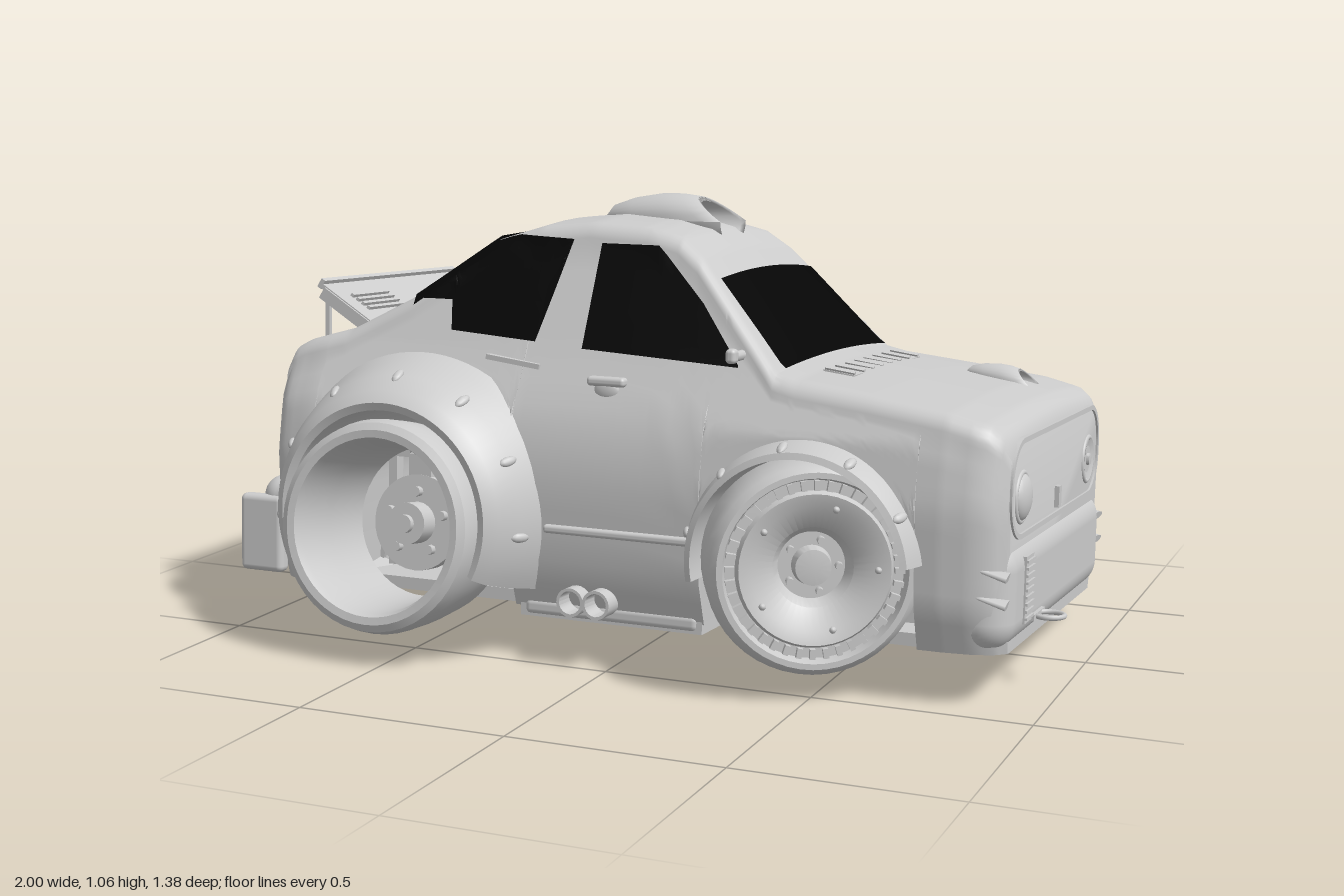
import * as THREE from 'three';
import { toCreasedNormals } from 'three/addons/utils/BufferGeometryUtils.js';
import { RoundedBoxGeometry } from 'three/addons/geometries/RoundedBoxGeometry.js';

const paint = new THREE.MeshStandardMaterial({ color: 0xcccccc, side: THREE.DoubleSide });
paint.name = 'light grey paint';
const glass = new THREE.MeshStandardMaterial({ color: 0x050505, side: THREE.DoubleSide });
glass.name = 'black glass';

// piecewise linear lookup
const lerpTable = (t, x) => {
  if (x <= t[0][0]) return t[0][1];
  for (let i = 1; i < t.length; i++) if (x <= t[i][0]) {
    const [a, b] = [t[i - 1], t[i]];
    return a[1] + (b[1] - a[1]) * (x - a[0]) / (b[0] - a[0]);
  }
  return t[t.length - 1][1];
};

// body rules: top line along x, half width over height, plan taper, corner radius
const TOP = [[-0.9, 0.64], [-0.885, 0.672], [-0.85, 0.69], [-0.74, 0.72], [-0.58, 0.808], [-0.39, 0.948], [-0.28, 0.983],
  [-0.15, 0.996], [0, 0.988], [0.08, 0.968], [0.14, 0.925], [0.37, 0.68], [0.42, 0.668], [0.6, 0.647], [0.78, 0.622], [0.87, 0.6], [0.9, 0.578], [0.915, 0.55]];
const WIDTH = [[0.08, 0.44], [0.2, 0.485], [0.42, 0.5], [0.55, 0.48], [0.63, 0.44], [0.7, 0.405], [1.0, 0.275]];
const PLAN = [[-0.9, 0.93], [-0.88, 0.97], [-0.8, 1], [0.78, 1], [0.85, 0.98], [0.89, 0.94], [0.915, 0.88]];
const R = 0.05;
const ARCHES = [[-0.52, 0.3, 0.265], [0.475, 0.27, 0.25]];
const top = x => lerpTable(TOP, x);
const half = (x, y) => lerpTable(WIDTH, y) * lerpTable(PLAN, x);
const flat = x => half(x, top(x) - R) - R;
const sideZ = (x, y) => {
  const k = y - (top(x) - R);
  return k <= 0 ? half(x, y) : flat(x) + Math.sqrt(Math.max(0, R * R - k * k));
};
const topY = (x, z) => {
  const f = flat(x), d = Math.abs(z) - f;
  return d <= 0 ? top(x) + 0.015 * (1 - (z / f) ** 2) : top(x) - R + Math.sqrt(Math.max(0, R * R - d * d));
};
const bottom = x => {
  for (const [cx, cy, r] of ARCHES) if (Math.abs(x - cx) < r) return cy + Math.sqrt(r * r - (x - cx) ** 2);
  return 0.1;
};

// surface through rows of points
function skin(rows, closed, caps) {
  const n = rows[0].length, pos = rows.flat(2), idx = [];
  for (let i = 0; i < rows.length - 1; i++) for (let j = 0; j < (closed ? n : n - 1); j++) {
    const a = i * n + j, b = i * n + (j + 1) % n;
    idx.push(a, a + n, b, b, a + n, b + n);
  }
  if (caps) for (const [r, flip] of [[0, true], [rows.length - 1, false]]) {
    for (let j = 1; j < n - 1; j++) {
      const a = r * n;
      idx.push(a, ...(flip ? [a + j, a + j + 1] : [a + j + 1, a + j]));
    }
  }
  const g = new THREE.BufferGeometry();
  g.setAttribute('position', new THREE.Float32BufferAttribute(pos, 3));
  g.setIndex(idx);
  return toCreasedNormals(g, 0.55);
}

function bodyGeometry() {
  const xs = TOP.map(p => p[0]);
  for (let x = -0.89; x < 0.9; x += 0.02) xs.push(x);
  for (const [c, , r] of ARCHES) for (const s of [-1, 1]) xs.push(c + s * (r + 0.001), c + s * (r - 0.0005), c + s * r * 0.99, c + s * r * 0.96);
  xs.sort((a, b) => a - b);
  return skin(xs.map(x => {
    const side = [], yb = bottom(x), yt = top(x) - R;
    for (let k = 0; k <= 14; k++) { const y = yb + (yt - yb) * k / 14; side.push([x, y, half(x, y)]); }
    for (let k = 1; k <= 6; k++) {
      const a = k * Math.PI / 12;
      side.push([x, yt + R * Math.sin(a), flat(x) + R * Math.cos(a)]);
    }
    for (const f of [0.66, 0.33]) side.push([x, topY(x, flat(x) * f), flat(x) * f]);
    const other = side.map(([a, b, c]) => [a, b, -c]).reverse();
    return [...side, [x, topY(x, 0), 0], ...other];
  }), true, true);
}

// glass lying on the body side, between a lower and an upper edge
function sideGlass(lo, hi) {
  const xs = [...new Set([...lo, ...hi].map(p => p[0]))];
  const [a, b] = [Math.min(...xs), Math.max(...xs)];
  for (let i = 1; i < 16; i++) xs.push(a + (b - a) * i / 16);
  xs.sort((p, q) => p - q);
  return skin(xs.map(x => Array.from({ length: 9 }, (_, k) => {
    const y0 = lerpTable(lo, x), y1 = Math.max(y0, Math.min(lerpTable(hi, x), top(x) - 0.008));
    const y = y0 + (y1 - y0) * k / 8;
    return [x, y + 0.003, sideZ(x, y) + 0.006];
  })));
}

// glass lying across the body top from x0 to x1, wider than its flat by w0 and w1; bow bends the ends
function crossGlass([x0, w0], [x1, w1], bow) {
  return skin(Array.from({ length: 13 }, (_, i) => Array.from({ length: 33 }, (_, k) => {
    const u = k / 16 - 1, x = x0 + (x1 - x0) * i / 12 + bow * u ** 4, z = (flat(x) + w0 + (w1 - w0) * i / 12) * u;
    return [x, topY(x, z) + 0.007, z * 1.01];
  })));
}

function add(parent, name, geo, p = [0, 0, 0], r = [0, 0, 0], mat = paint) {
  const m = new THREE.Mesh(geo, mat);
  m.name = name;
  m.position.set(...p);
  m.rotation.set(...r);
  parent.add(m);
  return m;
}
const box = (x, y, z) => new THREE.BoxGeometry(x, y, z);
const v2 = pts => pts.map(p => new THREE.Vector2(...p));
// turned part with its axis along z: points are [radius, z]
const turned = (pts, seg = 48, from = 0, len = Math.PI * 2) =>
  toCreasedNormals(new THREE.LatheGeometry(v2(pts), seg, from, len).rotateX(Math.PI / 2), 0.6);
const rod = (r, len, seg = 16) => new THREE.CylinderGeometry(r, r, len, seg).rotateX(Math.PI / 2);
// drop-shaped air scoop whose mouth is swept back at the top
function scoop(l, h, w) {
  const g = new THREE.LatheGeometry(v2([[0.02, 0], [0.5, 0.1], [0.8, 0.32], [0.98, 0.62], [1, 0.85], [0.92, 1], [0.76, 0.98], [0.6, 0.5], [0.02, 0.4]]), 28)
    .rotateZ(-Math.PI / 2);
  const p = g.attributes.position;
  for (let i = 0; i < p.count; i++) p.setX(i, p.getX(i) * (1 - 0.28 * Math.max(0, p.getY(i))));
  g.scale(l, h, w).computeVertexNormals();
  return g;
}
function roundRect(w, h, r, C = THREE.Shape) {
  const s = new C();
  for (const [i, [x, y]] of [[w - r, h - r], [r - w, h - r], [r - w, r - h], [w - r, r - h]].entries())
    s.absarc(x, y, r, i * Math.PI / 2, (i + 1) * Math.PI / 2);
  return s;
}

// end panel with raised frame and round lamps, facing +x
function endPanel(parent, name, x, y, turn, domes, lampZ, lampY) {
  const g = new THREE.Group();
  g.name = name;
  g.position.set(x, y, 0);
  g.rotation.y = turn;
  parent.add(g);
  const frame = roundRect(0.43, 0.112, 0.1);
  frame.holes.push(roundRect(0.418, 0.1, 0.088, THREE.Path));
  const opt = { depth: 0.02, bevelEnabled: false, curveSegments: 12 };
  add(g, 'panelFrame', new THREE.ExtrudeGeometry(frame, opt));
  add(g, 'panel', new THREE.ExtrudeGeometry(roundRect(0.425, 0.104, 0.092), { ...opt, depth: 0.012 }));
  [-1, 1].forEach((s, i) => {
    add(g, 'lampRing', new THREE.TorusGeometry(0.054, 0.007, 10, 32), [s * lampZ, lampY, 0.013]);
    if (domes[i]) add(g, 'lampDome', new THREE.SphereGeometry(0.054, 24, 12).scale(1, 1, 0.45), [s * lampZ, lampY, 0.012]);
    else add(g, 'lampFunnel', turned([[0.05, 0.02], [0.03, 0.014], [0.015, 0.013], [0.014, 0.022], [0, 0.024]], 24), [s * lampZ, lampY, 0]);
  });
}

function frontWheel(parent, s) {
  const g = new THREE.Group();
  g.name = 'frontWheel';
  g.position.set(0.475, 0.268, s * 0.448);
  g.rotation.y = 0.47 + (s < 0 ? Math.PI : 0);
  parent.add(g);
  add(g, 'tyreAndRim', turned([[0, -0.1], [0.18, -0.12], [0.222, -0.11], [0.238, -0.07], [0.24, 0.05], [0.232, 0.085], [0.218, 0.1], [0.205, 0.1],
    [0.198, 0.07], [0.175, 0.07], [0.168, 0.085], [0.14, 0.078], [0.09, 0.05], [0.075, 0.02], [0.045, 0.02], [0.04, 0.055], [0, 0.06]]));
  for (let i = 0; i < 40; i++) {
    const a = i * Math.PI / 20;
    add(g, 'rimTooth', box(0.022, 0.012, 0.02), [0.187 * Math.cos(a), 0.187 * Math.sin(a), 0.077], [0, 0, a]);
    if (i % 8 === 0) {
      add(g, 'wheelBolt', rod(0.009, 0.03, 8), [0.06 * Math.cos(a), 0.06 * Math.sin(a), 0.03]);
      add(g, 'rimStud', new THREE.SphereGeometry(0.008, 8, 6), [0.14 * Math.cos(a), 0.14 * Math.sin(a), 0.08]);
    }
  }
}

function rearWheel(side) {
  const g = new THREE.Group();
  g.name = 'rearWheel';
  g.position.set(-0.52, 0.28, 0.535);
  g.rotation.x = -0.1;
  side.add(g);
  add(g, 'openRim', turned([[0.18, -0.13], [0.205, -0.135], [0.228, -0.11], [0.244, 0], [0.25, 0.09], [0.242, 0.122], [0.225, 0.132], [0.207, 0.13], [0.2, 0.11], [0.188, 0], [0.18, -0.13]]));
  add(g, 'brakeDisc', rod(0.115, 0.035, 32), [0, 0, -0.1]);
  add(g, 'hub', rod(0.05, 0.1, 20), [0, 0, -0.08]);
  add(g, 'hubCap', rod(0.022, 0.13, 16), [0, 0, -0.08]);
  for (let i = 0; i < 5; i++) {
    const a = i * Math.PI * 0.4 + 0.3;
    add(g, 'hubBolt', rod(0.012, 0.05, 8), [0.075 * Math.cos(a), 0.075 * Math.sin(a), -0.09]);
  }
}

// fender flare with lip and small raised vents, open below
function flare(side, name, [x, y], profile, [a0, a1], ventR, ventZ, slope, count) {
  const g = new THREE.Group();
  g.name = name;
  g.position.set(x, y, 0);
  side.add(g);
  add(g, 'flareShell', turned(profile, 48, a0 + Math.PI / 2, a1 - a0));
  for (let i = 0; i < count; i++) {
    const spoke = new THREE.Group();
    spoke.name = 'flareVentMount';
    spoke.rotation.z = a0 + (a1 - a0) * (i + 0.7) / (count + 0.4);
    g.add(spoke);
    add(spoke, 'flareVent', new THREE.SphereGeometry(0.014, 10, 8).scale(0.6, 0.8, 1.7), [ventR, 0, ventZ], [0, -slope, 0]);
  }
}

export function createModel() {
  const model = new THREE.Group(), car = new THREE.Group();
  model.name = 'car';
  car.name = 'leaningCar';
  // the whole car leans to one side
  car.rotation.x = -0.053;
  car.position.set(0, 0.003, 0.009);
  model.add(car);

  add(car, 'body', bodyGeometry());
  add(car, 'windshield', crossGlass([0.19, 0], [0.375, -0.03], 0), [0, 0, 0], [0, 0, 0], glass);
  add(car, 'rearGlass', crossGlass([-0.595, 0.047], [-0.4, 0.047], 0.02), [0, 0, 0], [0, 0, 0], glass);
  endPanel(car, 'frontPanel', 0.9, 0.455, Math.PI / 2, [true, false], 0.325, -0.02);
  endPanel(car, 'rearPanel', -0.89, 0.465, -Math.PI / 2, [true, true], 0.36, 0);

  // bumpers, floor and chassis
  add(car, 'frontBumper', new RoundedBoxGeometry(0.2, 0.25, 0.92, 6, 0.07), [0.83, 0.225, 0]);
  add(car, 'rearBumper', new RoundedBoxGeometry(0.15, 0.19, 0.97, 5, 0.05), [-0.875, 0.26, 0]);
  add(car, 'floor', box(1.65, 0.03, 0.6), [0.03, 0.085, 0]);
  add(car, 'floorMiddle', box(0.46, 0.03, 0.9), [-0.01, 0.092, 0]);
  add(car, 'engineBay', box(0.54, 0.44, 0.4), [0.48, 0.3, 0]);
  add(car, 'frontSplitter', box(0.14, 0.016, 0.78), [0.81, 0.1, 0]);
  add(car, 'rearAxle', rod(0.03, 0.9), [-0.52, 0.285, 0]);
  add(car, 'differential', new THREE.SphereGeometry(0.075, 20, 14), [-0.52, 0.285, 0]);

  // front details
  add(car, 'frontLatch', box(0.02, 0.05, 0.025), [0.916, 0.39, 0]);
  add(car, 'meshVent', box(0.02, 0.15, 0.065), [0.924, 0.23, 0.3]);
  for (let i = 0; i < 9; i++) add(car, 'meshBar', box(0.006, 0.006, 0.065), [0.936, 0.166 + i * 0.016, 0.3]);
  add(car, 'towRing', new THREE.TorusGeometry(0.034, 0.006, 8, 24).rotateX(Math.PI / 2), [0.96, 0.155, 0.21]);
  add(car, 'towBar', box(0.02, 0.014, 0.1), [0.928, 0.155, 0.21]);

  // scoops and hood louvres
  add(car, 'roofScoop', scoop(0.34, 0.064, 0.09), [-0.24, 0.998, 0.012]);
  add(car, 'hoodScoop', scoop(0.17, 0.035, 0.05), [0.645, 0.65, -0.165], [0, 0, -0.14]);
  add(car, 'louvrePanel', box(0.075, 0.008, 0.51), [0.465, 0.671, 0.005], [0, 0, -0.13]);
  for (let i = 0; i < 8; i++) add(car, 'hoodLouvre', box(0.07, 0.016, 0.012), [0.465, 0.674, -0.24 + i * 0.07], [0.4, 0, -0.15]);

  // rear wing
  const wing = new THREE.Group();
  wing.name = 'rearWing';
  wing.position.set(-0.782, 0.765, 0);
  wing.rotation.z = -0.55;
  car.add(wing);
  add(wing, 'wingPlate', box(0.21, 0.012, 0.66));
  add(wing, 'wingLip', box(0.012, 0.024, 0.66), [-0.1, 0.004, 0]);
  for (const s of [-1, 1]) {
    add(wing, 'wingEnd', box(0.19, 0.03, 0.01), [0.01, -0.012, s * 0.33]);
    for (let i = 0; i < 4; i++) add(wing, 'wingSlat', box(0.009, 0.012, 0.17), [-0.035 + i * 0.018, 0.008, s * 0.195]);
    add(car, 'wingStrut', box(0.012, 0.14, 0.012), [-0.85, 0.735, s * 0.32]);
  }

  // stepped diffuser with fins
  for (let i = 0; i < 5; i++) {
    const z = -0.34 + i * 0.17;
    add(car, 'diffuserFin', box(0.2, 0.08, 0.012), [-0.875, 0.135, z], [0, 0, -0.3]);
    add(car, 'diffuserSpike', box(0.06, 0.012, 0.012), [-0.967, 0.18, z]);
    if (i < 4) add(car, 'diffuserPlate', box(0.24, 0.012, 0.165), [-0.86, 0.125, z + 0.085], [0.15, 0, -0.35]);
  }

  // twin exhaust on the left side
  for (const x of [-0.085, -0.02]) {
    add(car, 'exhaust', turned([[0.025, -0.1], [0.034, -0.06], [0.034, 0.035], [0.027, 0.035], [0.025, -0.04], [0, -0.04]], 20), [x, 0.132, 0.475]);
  }

  for (const s of [1, -1]) {
    const side = new THREE.Group();
    side.name = s > 0 ? 'leftSide' : 'rightSide';
    side.scale.z = s;
    car.add(side);
    add(side, 'doorWindow', sideGlass([[-0.112, 0.705], [0.28, 0.685]], [[-0.112, 0.945], [0.035, 0.945], [0.17, 0.82], [0.28, 0.69]]), [0, 0, 0], [0, 0, 0], glass);
    add(side, 'quarterWindow', sideGlass([[-0.565, 0.8], [-0.475, 0.8], [-0.46, 0.73], [-0.235, 0.715], [-0.185, 0.95]],
      [[-0.565, 0.82], [-0.38, 0.96], [-0.185, 0.952]]), [0, 0, 0], [0, 0, 0], glass);
    flare(side, 'rearFlare', [-0.515, 0.31], [[0.37, 0.44], [0.352, 0.48], [0.325, 0.55], [0.295, 0.605], [0.268, 0.628], [0.25, 0.622], [0.25, 0.44]],
      [-0.48, Math.PI + 0.48], 0.324, 0.553, 0.52, 7);
    flare(side, 'frontFlare', [0.47, 0.268], [[0.285, 0.45], [0.273, 0.505], [0.258, 0.545], [0.243, 0.55], [0.24, 0.44]],
      [0.1, Math.PI + 0.2], 0.267, 0.525, 0.4, 5);
    rearWheel(side);
    frontWheel(car, s);

    // rear suspension frame
    for (const k of [-1, 1]) {
      add(side, 'frameUpright', box(0.022, 0.3, 0.03), [-0.52 + k * 0.13, 0.29, 0.33]);
      add(side, 'frameRail', box(0.28, 0.022, 0.03), [-0.52, 0.29 + k * 0.13, 0.33]);
      add(side, 'damper', rod(0.02, 0.2, 12).rotateX(Math.PI / 2), [-0.52 + k * 0.07, 0.35, 0.33]);
    }
    add(side, 'caliper', box(0.06, 0.07, 0.08), [-0.52, 0.4, 0.4]);

    // trim
    add(side, 'sideStrip', new RoundedBoxGeometry(0.38, 0.02, 0.025, 3, 0.008), [0.03, 0.297, 0.493]);
    add(side, 'sideSkirt', new RoundedBoxGeometry(0.44, 0.04, 0.04, 3, 0.015), [-0.01, 0.1, 0.435]);
    add(side, 'doorHandle', new RoundedBoxGeometry(0.095, 0.022, 0.03, 3, 0.009), [-0.03, 0.64, 0.442]);
    add(side, 'handleCup', new THREE.SphereGeometry(0.032, 14, 10).scale(1, 0.8, 0.35), [-0.03, 0.62, 0.443]);
    add(side, 'pillarVent', box(0.14, 0.012, 0.02), [-0.28, 0.67, 0.422], [0, 0, -0.12]);
    add(side, 'mirrorArm', rod(0.012, 0.09, 10), [0.28, 0.715, 0.415]);
    add(side, 'mirror', new RoundedBoxGeometry(0.025, 0.034, 0.03, 3, 0.01), [0.28, 0.717, 0.455]);
    for (const y of [0.24, 0.3]) {
      add(side, 'canard', new THREE.ConeGeometry(0.04, 0.19, 12).rotateZ(Math.PI / 2).scale(1, 0.25, 1), [0.83, y, 0.45], [0, 0.1, -0.25]);
    }
    add(side, 'bumperEnd', new RoundedBoxGeometry(0.12, 0.19, 0.04, 3, 0.015), [-0.935, 0.215, 0.475]);
  }
  return model;
}
